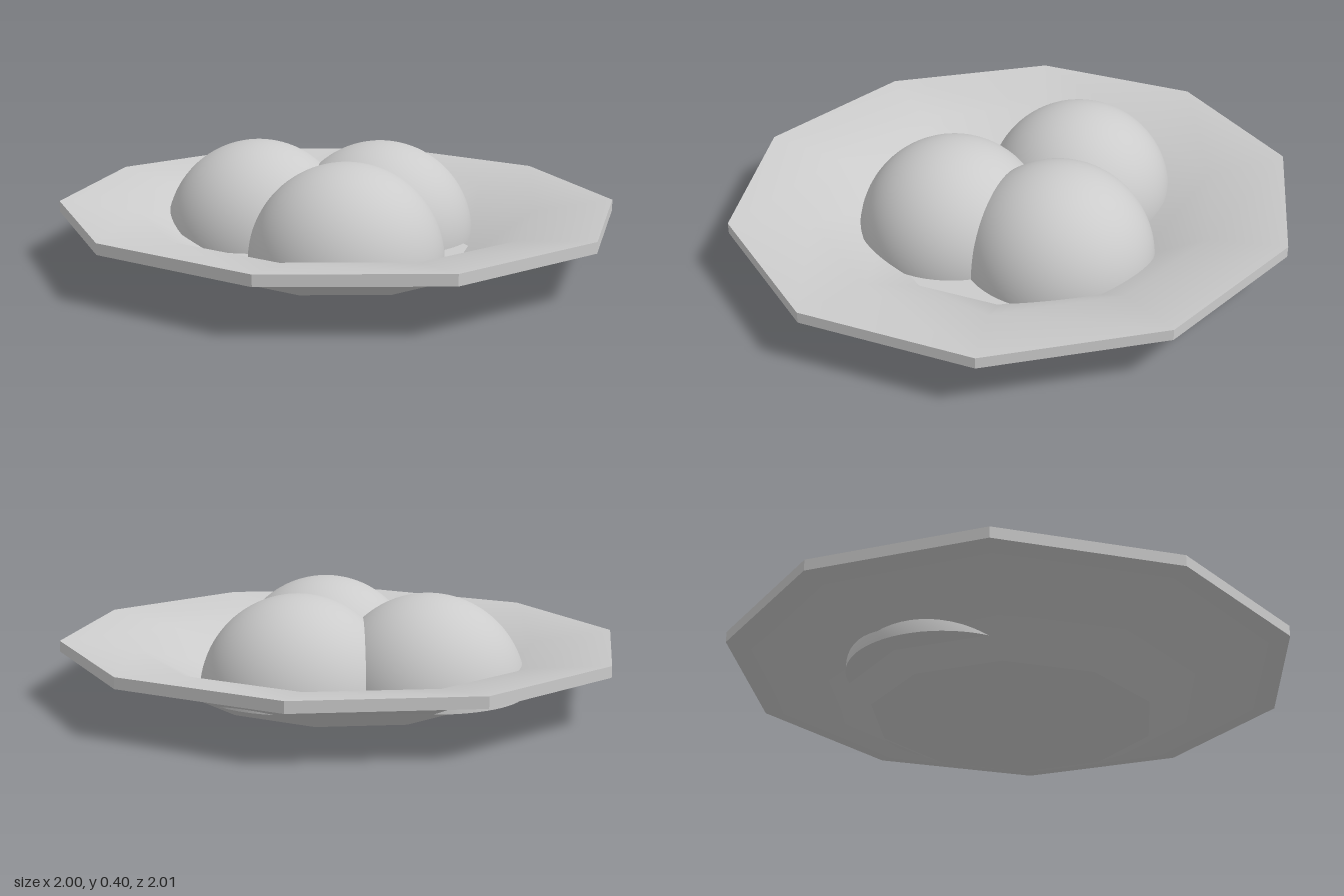
import * as THREE from 'three';
import { toCreasedNormals } from 'three/addons/utils/BufferGeometryUtils.js';

const RADIUS = 0.35;
const BASE_Y = 0.05;

export function createModel() {
  const group = new THREE.Group();
  const material = new THREE.MeshStandardMaterial({ color: 0xcccccc });

  // Ten-sided dish: underside, thin rim, then the inner bowl
  const profile = [
    [0, 0], [0.5, 0], [0.76, 0.13], [1, 0.175],
    [1, 0.215], [0.72, 0.175], [0.48, 0.04], [0, 0.04],
  ].map(([x, y]) => new THREE.Vector2(x, y));
  const dish = new THREE.LatheGeometry(profile, 10, Math.PI / 2);
  dish.rotateY(0.008);
  dish.scale(1, 1, 1 / Math.sin(Math.PI * 0.4));
  const plate = new THREE.Mesh(toCreasedNormals(dish, 0.46), material);
  plate.name = 'plate';
  group.add(plate);

  // Three overlapping half-round scoops with flat undersides
  const dome = new THREE.SphereGeometry(RADIUS, 64, 24, 0, Math.PI * 2, 0, Math.PI / 2);
  const disc = new THREE.CircleGeometry(RADIUS, 64).rotateX(Math.PI / 2);
  [[-0.11, -0.345], [-0.11, 0.2], [0.24, -0.04]].forEach(([x, z], i) => {
    const scoop = new THREE.Group();
    scoop.name = `scoop${i + 1}`;
    const top = new THREE.Mesh(dome, material);
    top.name = 'scoopDome';
    const base = new THREE.Mesh(disc, material);
    base.name = 'scoopBase';
    scoop.add(top, base);
    scoop.position.set(x, BASE_Y, z);
    group.add(scoop);
  });

  return group;
}
